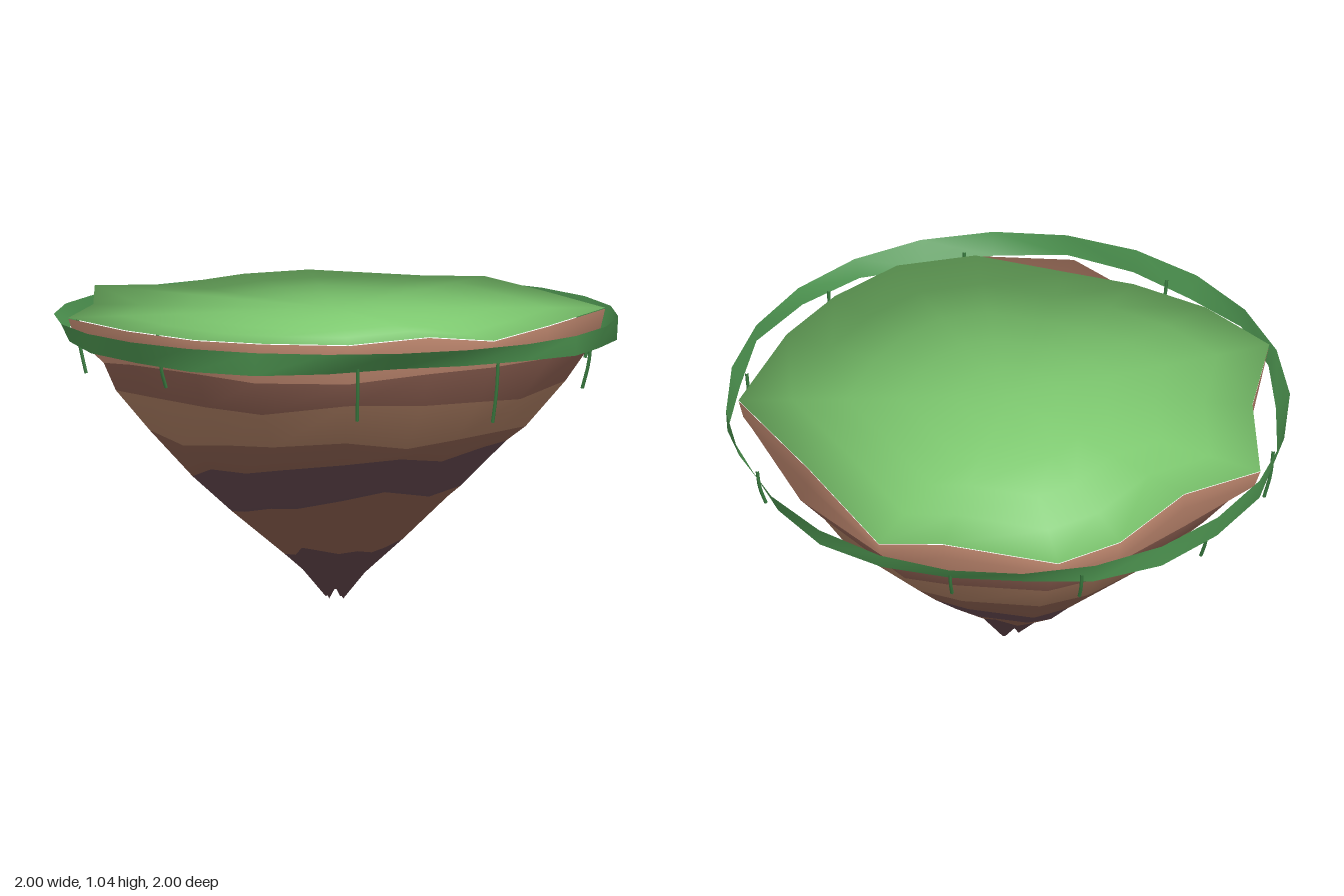
import * as THREE from 'three';

const mat = (name, color, side = THREE.FrontSide) => {
  const m = new THREE.MeshStandardMaterial({ color, side });
  m.name = name;
  return m;
};

// Rim corners [x, z, y], clockwise from the back as seen from above
const RIM = [
  [-0.23, -0.94, 1.03], [0.24, -0.79, 1.04], [0.69, -0.66, 1.04], [0.83, -0.25, 1.03],
  [0.87, 0.05, 1.01], [0.8, 0.3, 1.04], [0.65, 0.55, 1.02], [0.36, 0.7, 1.01],
  [0.13, 0.81, 1.01], [-0.16, 0.87, 1.02], [-0.48, 0.85, 1.03], [-0.67, 0.55, 1.03],
  [-0.96, 0.27, 1.04], [-0.84, 0, 1.03], [-0.86, -0.36, 1.03], [-0.78, -0.6, 1.03],
  [-0.4, -0.79, 1.03],
];
const N = RIM.length;

// Rock rows from the rim to the tip: [height, radius, share of the rim's irregularity, tilt up to the left]
const ROWS = [
  [0.97, 0.875, 0.85, 0], [0.89, 0.845, 0.35, 0.01], [0.765, 0.765, 0.3, 0.015],
  [0.61, 0.65, 0.3, 0.02], [0.5, 0.535, 0.3, 0.065], [0.365, 0.4, 0.3, 0.06],
  [0.18, 0.19, 0.3, 0.02], [0.02, 0.04, 0.3, 0],
];

function makeRandom(seed) {
  return () => {
    seed = (seed * 16807) % 2147483647;
    return seed / 2147483647;
  };
}

function geometry(pos, index, normals) {
  const g = new THREE.BufferGeometry();
  g.setAttribute('position', new THREE.Float32BufferAttribute(pos, 3));
  g.setIndex(index);
  if (normals) g.setAttribute('normal', new THREE.Float32BufferAttribute(normals, 3));
  else g.computeVertexNormals();
  return g;
}

// Layered rock cone with rounded shading, one material group per layer
function rockGeometry() {
  const rand = makeRandom(41);
  const pos = [], nor = [], index = [];
  RIM.forEach(([x, z, y]) => {
    const d = Math.hypot(x, z);
    pos.push(x, y, z);
    nor.push(x / d, 0, z / d);
  });
  ROWS.forEach(([y, r, k, lift], i) => {
    const last = i === ROWS.length - 1;
    const down = Math.min(Math.acos(r / 0.9), 1);
    for (let j = 0; j < N; j++) {
      const [x, z] = RIM[j];
      const d = Math.hypot(x, z);
      const rimR = j === 7 ? 0.93 : d; // a ledge juts out below the turf here
      const bump = i === 5 && (j === 3 || j === 4) ? 0.06 : 0;
      let dy = 0;
      if (last) dy = (j % 4 === 0 ? -0.02 : 0.015);
      else if (i > 0) dy = lift * (x / d) + (rand() - 0.5) * 0.045;
      const wobble = last ? 0 : dy * 0.9 + bump + (i > 0 ? (rand() - 0.5) * 0.03 : 0);
      const rr = r * (1 + k * (rimR / 0.88 - 1)) + wobble;
      pos.push((x / d) * rr, y + dy, (z / d) * rr);
      nor.push((x / d) * Math.cos(down), -Math.sin(down), (z / d) * Math.cos(down));
    }
  });
  pos.push(0, 0.04, 0);
  nor.push(0, -1, 0);
  const groups = [];
  const layerEnd = [2, 3, 4, 5, 6, 7, 8];
  let start = 0, layer = 0;
  for (let i = 0; i < ROWS.length; i++) {
    for (let j = 0; j < N; j++) {
      const n = (j + 1) % N;
      const a = i * N + j, b = i * N + n, c = b + N, e = a + N;
      index.push(a, b, c, a, c, e);
    }
    if (i === ROWS.length - 1) {
      for (let j = 0; j < N; j++) index.push((i + 1) * N + j, (i + 1) * N + (j + 1) % N, (i + 2) * N);
    }
    if (i + 1 === layerEnd[layer]) {
      groups.push([start, index.length - start, layer++]);
      start = index.length;
    }
  }
  const g = geometry(pos, index, nor);
  groups.forEach((q) => g.addGroup(...q));
  return g;
}

// Nearly flat turf with softly domed normals
function turfGeometry() {
  const steps = 5, pos = [0, 1.035, 0], nor = [0, 1, 0], index = [];
  for (let s = 1; s <= steps; s++) {
    const t = s / steps;
    for (const [x, z, y] of RIM) {
      pos.push(x * t, THREE.MathUtils.lerp(1.035, y + 0.003, t), z * t);
      const d = Math.hypot(x, z), tilt = Math.asin(0.97 * t);
      nor.push((x / d) * Math.sin(tilt), Math.cos(tilt), (z / d) * Math.sin(tilt));
    }
  }
  for (let j = 0; j < N; j++) {
    const n = (j + 1) % N;
    index.push(0, 1 + n, 1 + j);
    for (let s = 0; s < steps - 1; s++) {
      const a = 1 + s * N + j, b = 1 + s * N + n;
      index.push(a, b, b + N, a, b + N, a + N);
    }
  }
  return geometry(pos, index, nor);
}

// Open hanging band of grass around the rim, its lower edge drawn in unevenly
function fringeGeometry() {
  const lower = [
    0.98, 0.965, 0.92, 0.96, 0.995, 0.98, 0.96, 0.985, 0.97, 0.95, 0.975, 1,
    0.995, 1, 0.985, 0.95, 0.96, 0.985, 0.995, 0.97, 0.95, 0.995, 0.97, 1,
  ];
  const seg = lower.length, pos = [], index = [];
  lower.forEach((r, i) => {
    const a = (i / seg) * Math.PI * 2, c = Math.cos(a), s = Math.sin(a);
    pos.push(c, 1.01, s, c * r, 0.937 + 0.012 * Math.sin(3 * a + 1), s * r);
    const p = i * 2, q = ((i + 1) % seg) * 2;
    index.push(p, q, q + 1, p, q + 1, p + 1);
  });
  return geometry(pos, index);
}

export function createModel() {
  const group = new THREE.Group();
  const add = (name, geo, material) => {
    const m = new THREE.Mesh(geo, material);
    m.name = name;
    group.add(m);
  };

  const layers = [
    mat('pale clay', 0xc48b72), mat('brown earth', 0x8b5e50), mat('tan earth', 0xaa7c61),
    mat('umber earth', 0x8a5f4f), mat('purple stone', 0x64484f), mat('dark earth', 0x8a5e4e),
    mat('tip stone', 0x61444a),
  ];
  add('rock', rockGeometry(), layers);
  add('turf', turfGeometry(), mat('grass green', 0x7dc86f));
  add('grassFringe', fringeGeometry(), mat('fringe green', 0x4d9450, THREE.DoubleSide));

  // Hanging vines: [x, z, bottom height]
  const vineMat = mat('vine green', 0x3a7c40);
  const vines = [
    [-0.48, -0.84, 0.86], [0.43, -0.85, 0.82], [0.84, -0.45, 0.79], [0.945, 0.1, 0.73],
    [0.74, 0.59, 0.76], [0.1, 0.95, 0.85], [-0.85, 0.46, 0.76], [-0.97, -0.02, 0.82],
    [-0.83, -0.53, 0.85],
  ];
  vines.forEach(([x, z, y]) => {
    const at = (k, h) => new THREE.Vector3(x * k, h, z * k);
    const path = new THREE.CatmullRomCurve3([at(1, 0.97), at(0.99, (0.97 + y) / 2), at(0.965, y)]);
    add('vine', new THREE.TubeGeometry(path, 5, 0.0065, 5), vineMat);
  });
  return group;
}
